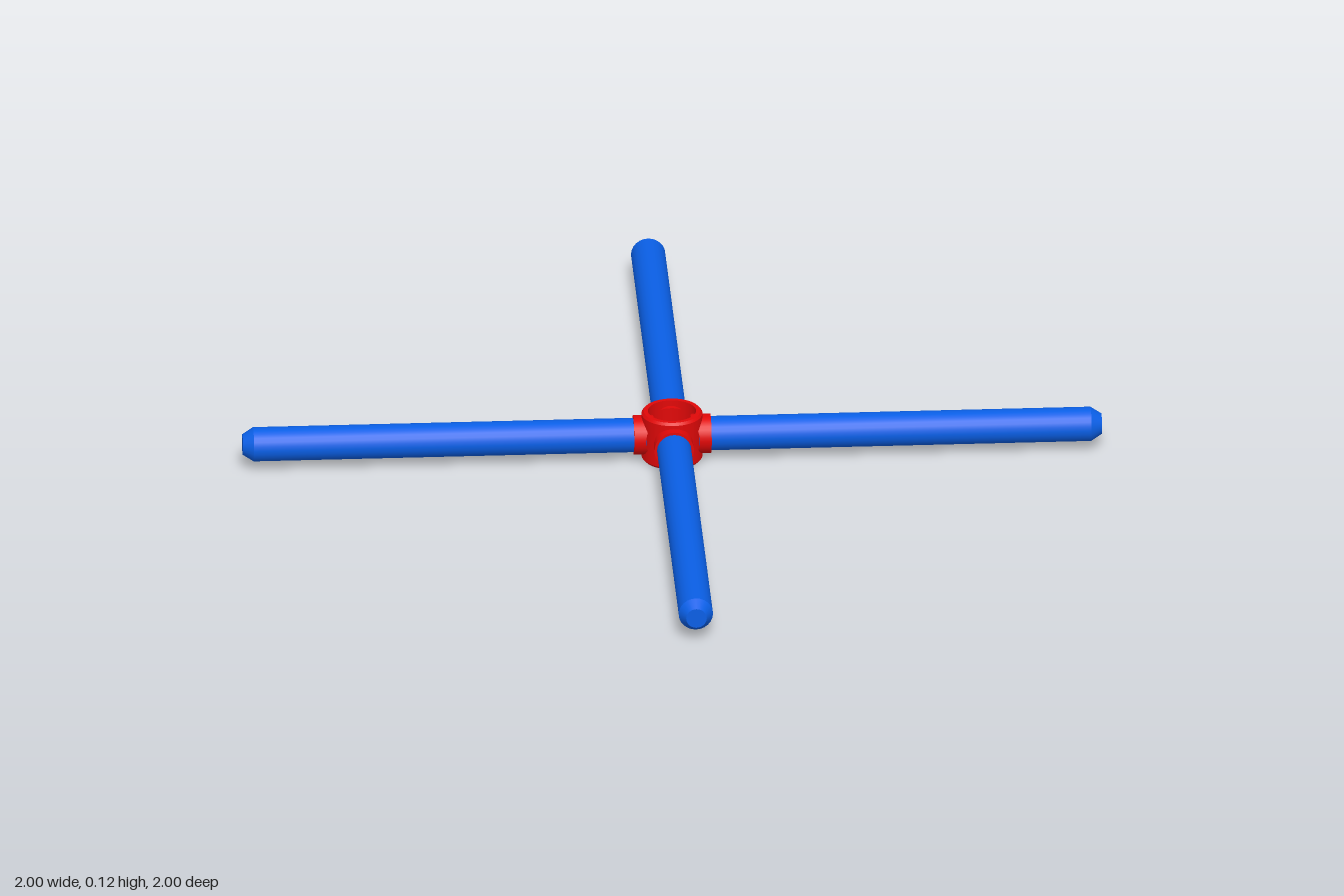
import * as THREE from 'three';

const CENTRE_Y = 0.06;
const BORE = 0.056;

const v = (pts) => pts.map(([x, y]) => new THREE.Vector2(x, y));

// Revolve each profile segment on its own so that edges stay crisp
function crispLathe(points, segments, material, name) {
  const group = new THREE.Group();
  group.name = name;
  for (let i = 0; i < points.length - 1; i++) {
    const geometry = new THREE.LatheGeometry(v([points[i], points[i + 1]]), segments);
    const mesh = new THREE.Mesh(geometry, material);
    mesh.name = name + 'Surface';
    group.add(mesh);
  }
  return group;
}

// Short sleeve along +y whose inner end follows the curve of the ring
function socketGeometry(radius, end) {
  const geometry = new THREE.CylinderGeometry(radius, radius, end, 32, 1, true);
  geometry.translate(0, end / 2, 0);
  const p = geometry.attributes.position;
  for (let i = 0; i < p.count; i++) {
    if (p.getY(i) < 0.001) p.setY(i, Math.sqrt(0.063 ** 2 - p.getX(i) ** 2));
  }
  return geometry;
}

export function createModel() {
  const model = new THREE.Group();
  model.name = 'crossConnector';
  const red = new THREE.MeshStandardMaterial({ color: 0xe00808, side: THREE.DoubleSide });
  const blue = new THREE.MeshStandardMaterial({ color: 0x0a5fe6, side: THREE.DoubleSide });

  // Hub ring with an open vertical bore
  const ring = crispLathe([
    [BORE, -0.06], [0.066, -0.06], [0.071, -0.054], [0.071, 0.054],
    [0.066, 0.06], [BORE, 0.06], [BORE, -0.06],
  ], 48, red, 'hubRing');
  ring.position.y = CENTRE_Y;
  model.add(ring);

  // Four arms, each a socket with its rod
  for (let i = 0; i < 4; i++) {
    const arm = new THREE.Group();
    arm.name = 'arm';

    const socket = new THREE.Mesh(socketGeometry(0.046, 0.09), red);
    socket.name = 'socket';
    const rim = new THREE.Mesh(new THREE.RingGeometry(0.039, 0.046, 32), red);
    rim.name = 'socketRim';
    rim.rotation.x = -Math.PI / 2;
    rim.position.y = 0.09;

    // Rod with a chamfered tip
    const rod = crispLathe([
      [0, 0.062], [0.04, 0.062], [0.04, 0.975], [0.024, 1], [0, 1],
    ], 24, blue, 'rod');

    arm.add(socket, rim, rod);
    // Lay the arm down along x, then turn it about the hub
    arm.rotation.set(0, i * Math.PI / 2, -Math.PI / 2);
    arm.position.y = CENTRE_Y;
    model.add(arm);
  }
  return model;
}
